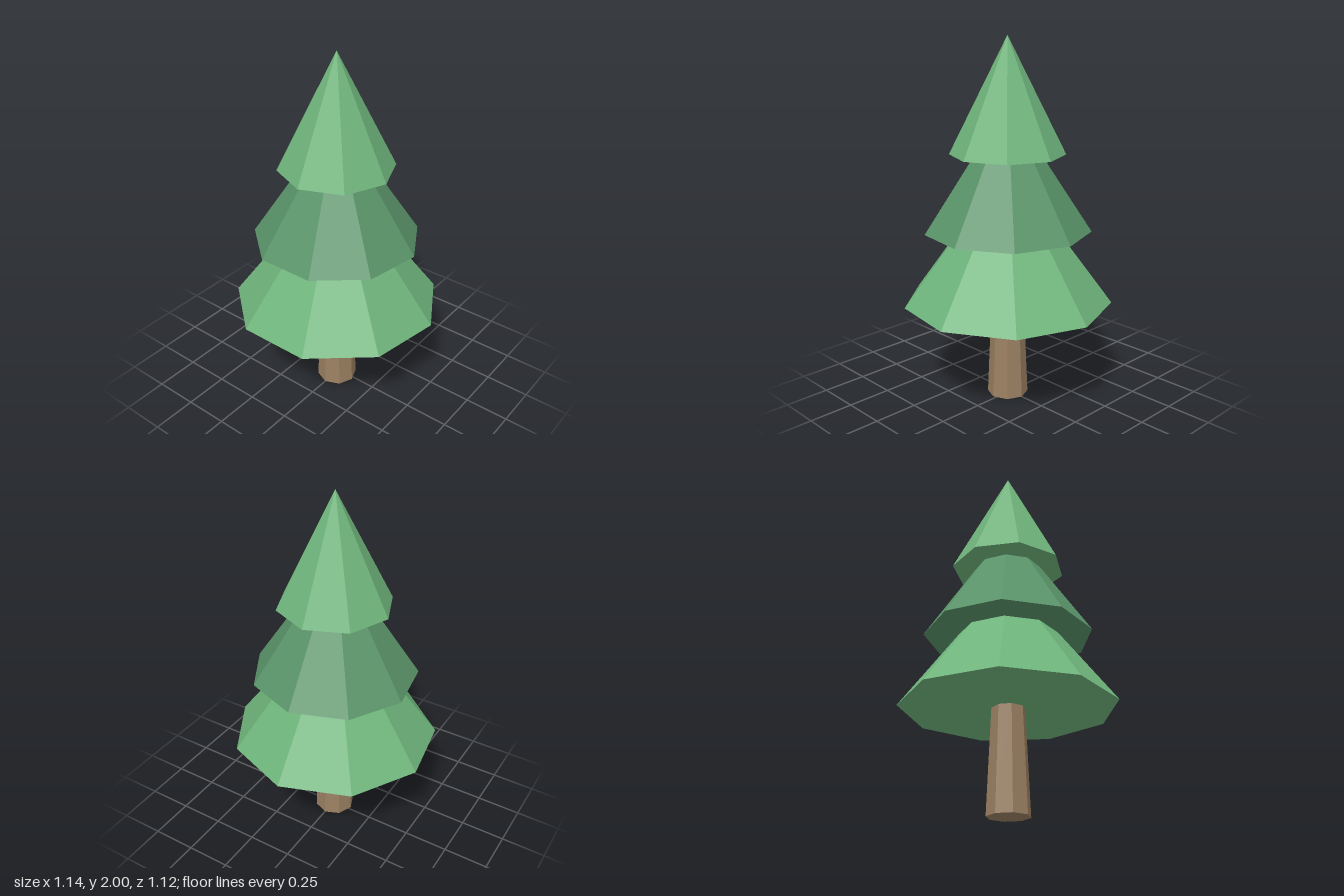
import * as THREE from 'three';

const paint = (color) => new THREE.MeshStandardMaterial({ color, flatShading: true });

export function createModel() {
  const tree = new THREE.Group();
  tree.name = 'pineTree';
  const lightGreen = paint(0x6fb57c);
  const darkGreen = paint(0x5a9469);
  const bark = paint(0x9b8062);
  const axisZ = 0.017; // the nine-sided tiers reach further back than forward

  // Tapered octagonal trunk, ending inside the lowest tier
  const trunk = new THREE.Mesh(new THREE.CylinderGeometry(0.087, 0.114, 0.62, 8), bark);
  trunk.name = 'trunk';
  trunk.position.set(0, 0.31, axisZ);
  tree.add(trunk);

  // Stacked foliage cones, each tip hidden in the tier above
  const tiers = [
    { name: 'lowerFoliage', radius: 0.577, base: 0.56, tip: 1.33, sides: 9, material: lightGreen },
    { name: 'middleFoliage', radius: 0.457, base: 0.965, tip: 1.655, sides: 9, material: darkGreen },
    { name: 'topFoliage', radius: 0.313, base: 1.38, tip: 2, sides: 8, material: lightGreen },
  ];
  for (const { name, radius, base, tip, sides, material } of tiers) {
    const cone = new THREE.Mesh(new THREE.ConeGeometry(radius, tip - base, sides), material);
    cone.name = name;
    cone.position.set(0, (base + tip) / 2, axisZ);
    cone.rotation.y = Math.PI; // a corner points to the back
    tree.add(cone);
  }
  return tree;
}
